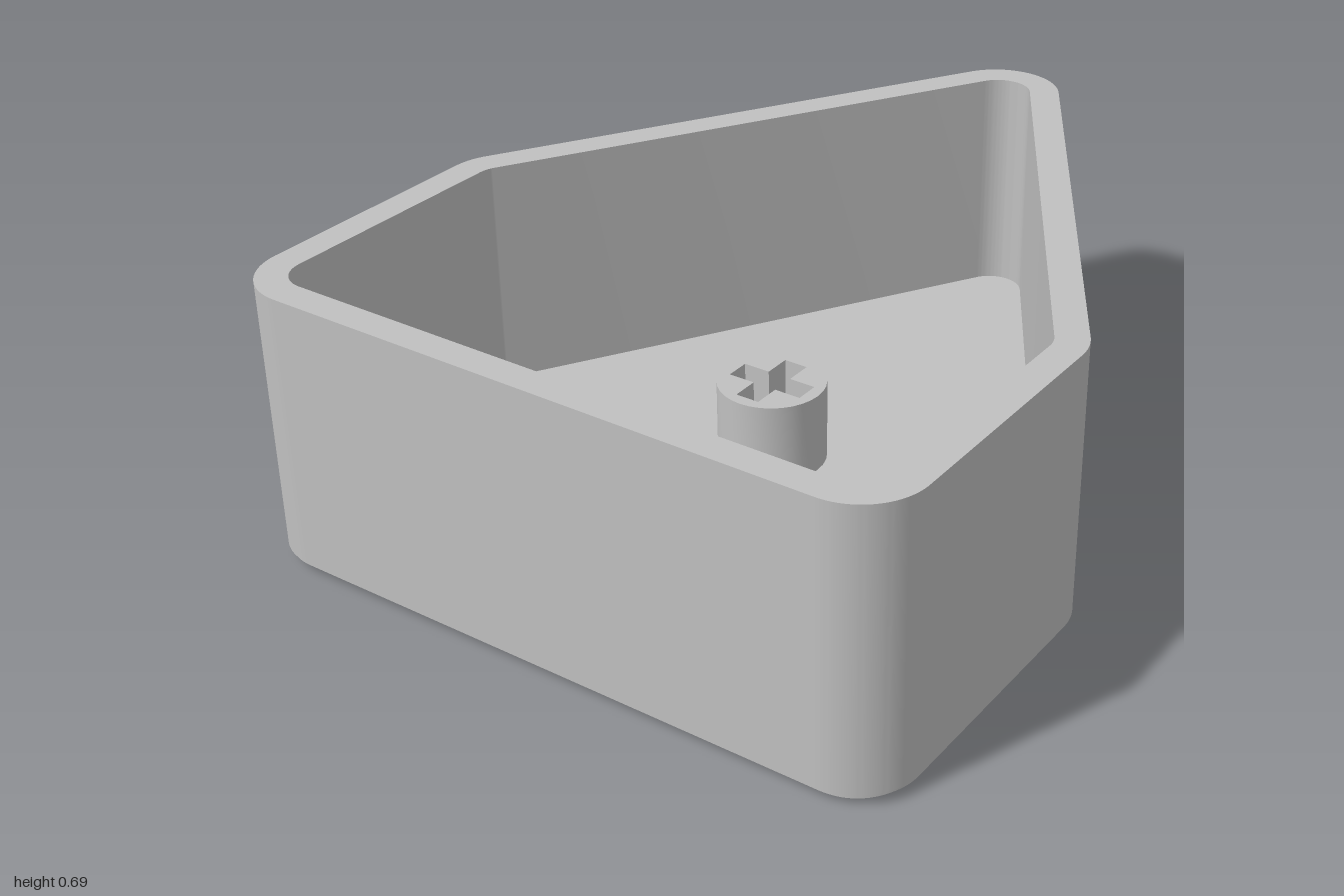
import * as THREE from 'three';
import { toCreasedNormals } from 'three/addons/utils/BufferGeometryUtils.js';

const PI = Math.PI;

// House-shaped outline: five corner centres rounded by radius r (shape y = -z)
function outline(r, PathType = THREE.Shape) {
  const slope = Math.atan2(0.68, 1.12);
  const corners = [
    [-0.68, -0.85, PI, 1.5 * PI],
    [0.68, -0.85, 1.5 * PI, 2 * PI],
    [0.68, -0.27, 0, slope],
    [0, 0.85, slope, PI - slope],
    [-0.68, -0.27, PI - slope, PI],
  ];
  const path = new PathType();
  for (const [x, y, a, b] of corners) path.absarc(x, y, r, a, b, false);
  path.closePath();
  return path;
}

// Plus-shaped socket outline
function cross(cx, cy, long, half) {
  const pts = [];
  for (let i = 0; i < 4; i++) {
    for (const [u, v] of [[long, -half], [long, half], [half, half]]) {
      const c = Math.round(Math.cos(i * PI / 2)), s = Math.round(Math.sin(i * PI / 2));
      pts.push(new THREE.Vector2(cx + u * c - v * s, cy + u * s + v * c));
    }
  }
  return new THREE.Path(pts);
}

export function createModel() {
  const group = new THREE.Group();
  const grey = new THREE.MeshStandardMaterial({ color: 0xc0c0c0 });
  grey.name = 'grey plastic';

  // Upright prism between two heights
  function prism(name, shape, y0, y1) {
    const geo = new THREE.ExtrudeGeometry(shape, { depth: y1 - y0, bevelEnabled: false, curveSegments: 16 });
    geo.rotateX(-PI / 2);
    geo.translate(0, y0, 0);
    const mesh = new THREE.Mesh(toCreasedNormals(geo, 0.6), grey);
    mesh.name = name;
    group.add(mesh);
  }

  // Stepped edge under the closed end
  [0.123, 0.134, 0.144].forEach((r, i) => prism('baseStep' + (i + 1), outline(r), i * 0.01, (i + 1) * 0.01));

  // Outer wall
  const wall = outline(0.15);
  wall.holes.push(outline(0.077, THREE.Path));
  prism('wall', wall, 0.03, 0.69);

  // Inner floor
  prism('floor', outline(0.077), 0.03, 0.125);

  // Round stem with a plus-shaped socket
  const stem = new THREE.Shape();
  stem.absarc(0, -0.165, 0.127, 0, 2 * PI, false);
  stem.holes.push(cross(0, -0.165, 0.097, 0.03));
  prism('stem', stem, 0.125, 0.32);

  return group;
}
